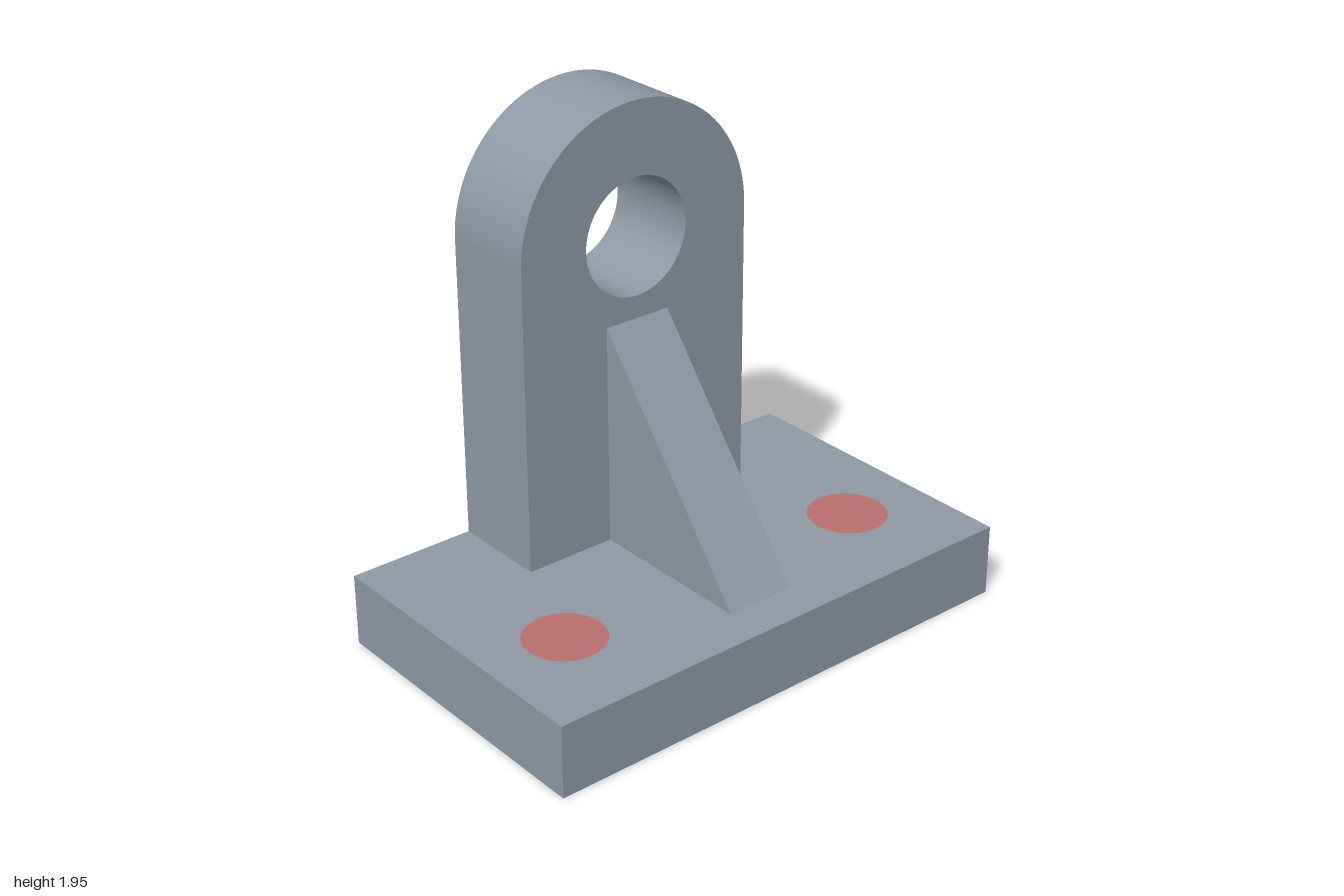
import * as THREE from 'three';
import { toCreasedNormals } from 'three/addons/utils/BufferGeometryUtils.js';

const steel = new THREE.MeshStandardMaterial({ name: 'steel grey', color: 0x8e98a4 });
const red = new THREE.MeshStandardMaterial({ name: 'muted red', color: 0xb8706f });

const HALF_X = 0.61, BASE_H = 0.28;      // base plate
const UPRIGHT_X = -0.225;                // inner face of the upright
const EYE_Y = 1.445, EYE_R = 0.5, BORE_R = 0.223;
const BOLT_X = 0.193, BOLT_Z = 0.667, BOLT_R = 0.152;

function extrude(shape, depth) {
  return new THREE.ExtrudeGeometry(shape, { depth, bevelEnabled: false, curveSegments: 48 });
}

function circlePath(x, y, r) {
  return new THREE.Path().absarc(x, y, r, 0, Math.PI * 2, true);
}

function add(group, name, geometry, material) {
  const mesh = new THREE.Mesh(toCreasedNormals(geometry, 0.5), material);
  mesh.name = name;
  group.add(mesh);
  return mesh;
}

export function createModel() {
  const model = new THREE.Group();
  model.name = 'bearingBracket';

  // Base plate with two bolt holes
  const plate = new THREE.Shape([
    new THREE.Vector2(-HALF_X, -1), new THREE.Vector2(HALF_X, -1),
    new THREE.Vector2(HALF_X, 1), new THREE.Vector2(-HALF_X, 1),
  ]);
  for (const s of [-1, 1]) plate.holes.push(circlePath(BOLT_X, s * BOLT_Z, BOLT_R));
  add(model, 'basePlate', extrude(plate, BASE_H).rotateX(-Math.PI / 2), steel);

  // Flush red plugs filling the bolt holes
  for (const [name, s] of [['leftBoltPlug', 1], ['rightBoltPlug', -1]]) {
    const plug = add(model, name, new THREE.CylinderGeometry(BOLT_R, BOLT_R, BASE_H, 96), red);
    plug.position.set(BOLT_X, BASE_H / 2, s * BOLT_Z);
  }

  // Round-topped upright with a bore through it
  const lug = new THREE.Shape();
  lug.moveTo(-EYE_R, BASE_H);
  lug.lineTo(EYE_R, BASE_H);
  lug.lineTo(EYE_R, EYE_Y);
  lug.absarc(0, EYE_Y, EYE_R, 0, Math.PI, false);
  lug.closePath();
  lug.holes.push(circlePath(0, EYE_Y, BORE_R));
  const lugGeometry = extrude(lug, UPRIGHT_X + HALF_X).rotateY(Math.PI / 2).translate(-HALF_X, 0, 0);
  add(model, 'upright', lugGeometry, steel);

  // Triangular stiffening rib
  const rib = new THREE.Shape([
    new THREE.Vector2(UPRIGHT_X, BASE_H), new THREE.Vector2(0.45, BASE_H),
    new THREE.Vector2(UPRIGHT_X, 1.135),
  ]);
  add(model, 'rib', extrude(rib, 0.276).translate(0, 0, -0.138), steel);

  return model;
}
